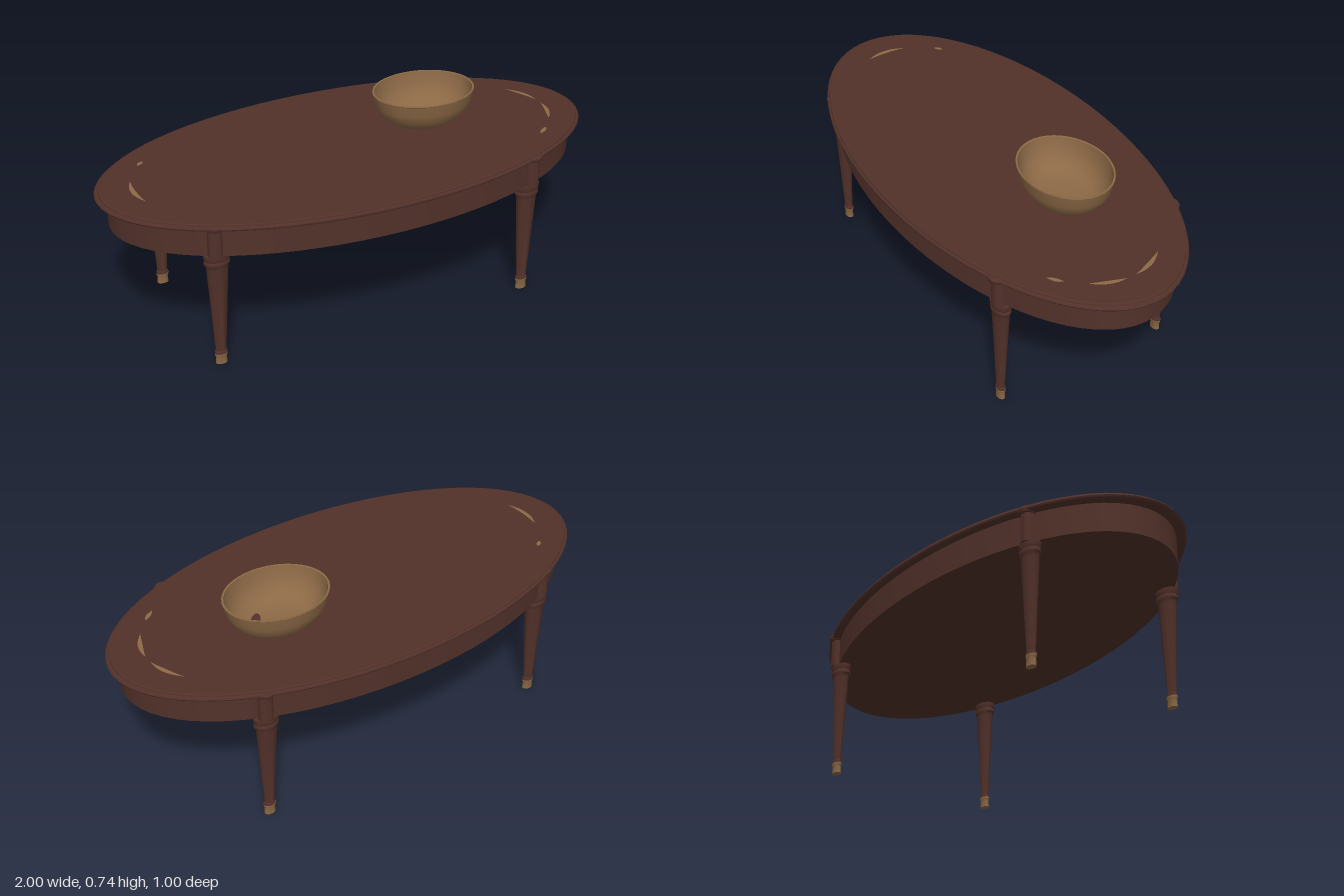
import * as THREE from 'three';
import { toCreasedNormals } from 'three/addons/utils/BufferGeometryUtils.js';

const makeMaterial = (name, color) => {
  const m = new THREE.MeshStandardMaterial({ color });
  m.name = name;
  return m;
};

// Turned shape from [radius, height] pairs, stretched to an oval
function turned(name, profile, material, sx, sz, segments = 24, crease = 0.6) {
  const points = profile.map(([r, y]) => new THREE.Vector2(r, y));
  const geometry = new THREE.LatheGeometry(points, segments);
  geometry.scale(sx, 1, sz);
  const mesh = new THREE.Mesh(toCreasedNormals(geometry, crease), material);
  mesh.name = name;
  return mesh;
}

// Thin flat patch between two ellipse arcs, tapering to both ends
function inlayArc(from, to, y, material) {
  const outer = [], inner = [], steps = 8;
  for (let i = 0; i <= steps; i++) {
    const t = i / steps, a = from + (to - from) * t;
    const w = 0.009 * Math.sin(Math.PI * t);
    const at = (d) => new THREE.Vector2((0.862 + d) * Math.cos(a), -(0.44 + d) * Math.sin(a));
    outer.push(at(w));
    if (i > 0 && i < steps) inner.unshift(at(-w));
  }
  const geometry = new THREE.ShapeGeometry(new THREE.Shape([...outer, ...inner]));
  geometry.rotateX(-Math.PI / 2);
  const mesh = new THREE.Mesh(geometry, material);
  mesh.position.y = y;
  mesh.name = 'inlay';
  return mesh;
}

export function createModel() {
  const wood = makeMaterial('dark wood', 0x52312a);
  const brass = makeMaterial('brass', 0x8c6946);
  const model = new THREE.Group();
  model.name = 'ovalTable';

  // Oval top with a moulded edge
  model.add(turned('tableTop', [
    [0, 0.579], [0.985, 0.579], [0.996, 0.583], [1, 0.589], [0.996, 0.595],
    [0.986, 0.597], [0.984, 0.603], [0.978, 0.605], [0, 0.605],
  ], wood, 1, 0.5, 72, 0.3));

  // Apron, closed underneath
  model.add(turned('apron', [[0, 0.466], [1, 0.466], [1, 0.58]], wood, 0.955, 0.47, 72));

  // Worn inlay fragments around the top
  for (const [a, b] of [[0.03, 0.34], [-0.38, -0.05], [0.49, 0.6], [2.94, 3.33], [3.58, 3.65]]) {
    model.add(inlayArc(a, b, 0.6056, brass));
  }

  // Legs: turned shaft, brass foot, post on the apron and cap under the top edge
  for (const [x, z] of [[-0.672, 0.311], [0.59, 0.355]]) {
    for (const side of [1, -1]) {
      const leg = new THREE.Group();
      leg.name = 'leg';
      leg.position.set(x, 0, z * side);
      leg.add(turned('legShaft', [
        [0.014, 0.04], [0.0165, 0.043], [0.0165, 0.051], [0.014, 0.055],
        [0.0285, 0.41], [0.03, 0.42], [0.0335, 0.427], [0.0335, 0.437],
        [0.0315, 0.442], [0.0345, 0.452], [0.0345, 0.468], [0, 0.468],
      ], wood, 1.45, 1));
      leg.add(turned('foot', [
        [0, 0], [0.015, 0], [0.014, 0.03], [0.0165, 0.036], [0.0165, 0.043], [0, 0.043],
      ], brass, 1.5, 1));
      const post = turned('post', [[0, 0.465], [1, 0.465], [1, 0.585], [0, 0.585]], wood, 0.028, 0.026);
      const cap = turned('postCap', [
        [0, 0.576], [0.9, 0.576], [1, 0.583], [1, 0.592], [0.85, 0.6], [0, 0.6],
      ], wood, 0.036, 0.04);
      for (const part of [post, cap]) {
        part.position.set(Math.sign(x) * 0.009, 0, side * 0.014);
        leg.add(part);
      }
      model.add(leg);
    }
  }

  // Oval bowl with an inner wall
  const bowl = new THREE.Group();
  bowl.name = 'bowl';
  bowl.position.set(0.362, 0, -0.067);
  bowl.add(turned('bowlShell', [
    [0, 0.605], [0.033, 0.605], [0.036, 0.609], [0.09, 0.61], [0.107, 0.615], [0.127, 0.631],
    [0.145, 0.657], [0.159, 0.69], [0.165, 0.733], [0.168, 0.736], [0.167, 0.739],
    [0.161, 0.738], [0.155, 0.692], [0.141, 0.66], [0.123, 0.636], [0.104, 0.621],
    [0.06, 0.614], [0, 0.613],
  ], brass, 1.24, 1, 40, 0.9));

  // Dark worn spot in the bottom of the bowl
  const spot = new THREE.Mesh(new THREE.CircleGeometry(1, 12), wood);
  spot.name = 'wornSpot';
  spot.geometry.scale(0.042, 0.018, 1).rotateZ(0.9).rotateX(-Math.PI / 2);
  spot.position.set(0.07, 0.619, 0.035);
  bowl.add(spot);
  model.add(bowl);

  return model;
}
